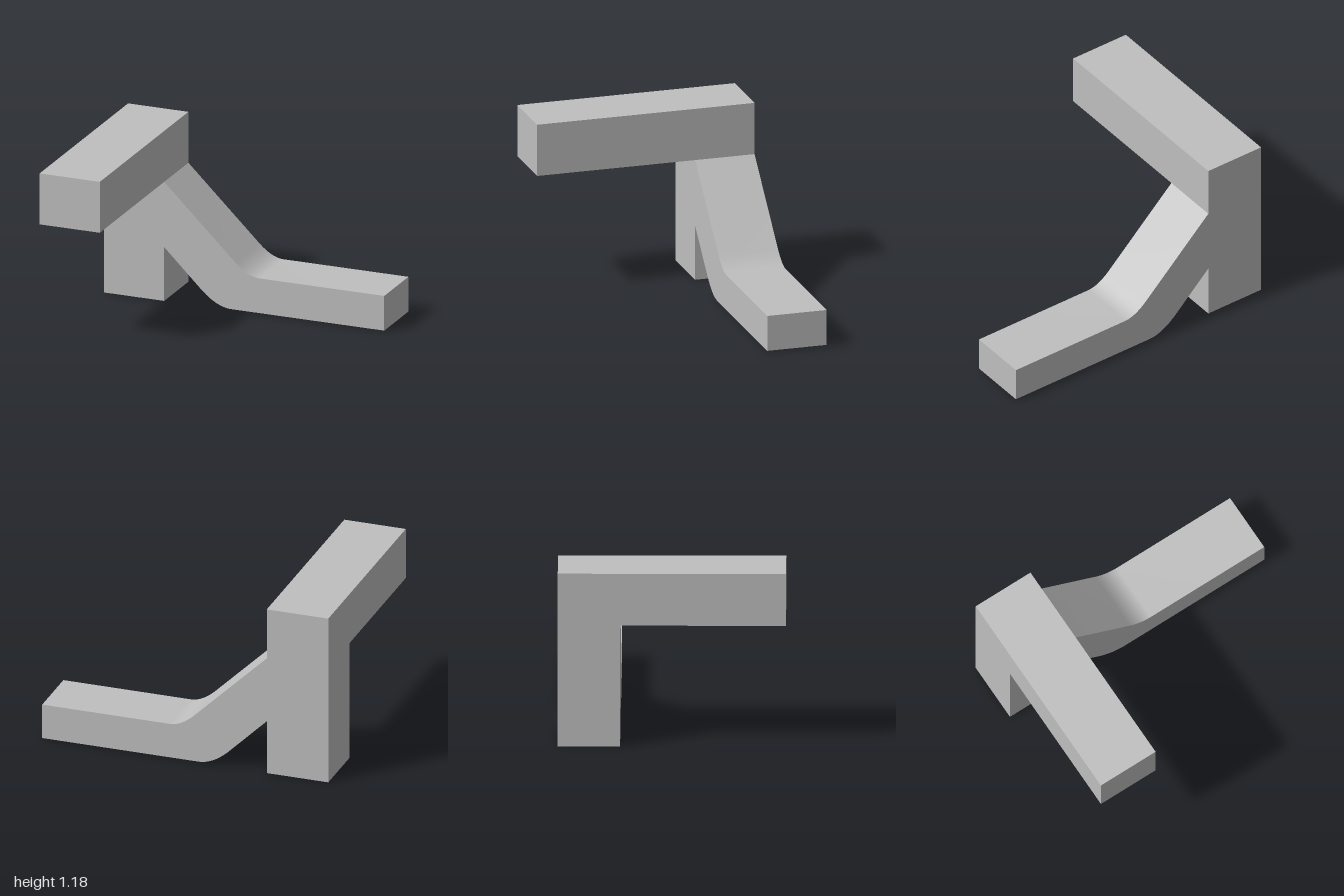
import * as THREE from 'three';
import { toCreasedNormals } from 'three/addons/utils/BufferGeometryUtils.js';

const BACK = -0.75, FRONT = 0.75, LEG_FRONT = -0.34;
const OUTER = -1, INNER = -0.57, TOP = 1.185, BEAM_BOTTOM = 0.83;

export function createModel() {
  const group = new THREE.Group();
  const grey = new THREE.MeshStandardMaterial({ color: 0xbfbfbf });
  grey.name = 'light grey';

  // Upright post and the bent sloping foot, as one side profile
  const profile = new THREE.Shape();
  profile.moveTo(OUTER, 0);
  profile.lineTo(INNER, 0);
  profile.lineTo(INNER, 0.375);
  profile.lineTo(-0.32, 0.13);
  profile.quadraticCurveTo(-0.2, 0.008, -0.09, 0.008);
  profile.lineTo(1, 0.008);
  profile.lineTo(1, 0.25);
  profile.lineTo(0.11, 0.25);
  profile.quadraticCurveTo(0.03, 0.25, -0.06, 0.335);
  profile.lineTo(INNER, BEAM_BOTTOM);
  profile.lineTo(INNER, TOP);
  profile.lineTo(OUTER, TOP);
  profile.closePath();
  const legGeometry = new THREE.ExtrudeGeometry(profile, {
    depth: LEG_FRONT - BACK, bevelEnabled: false, curveSegments: 14,
  });
  legGeometry.translate(0, 0, BACK);
  const leg = new THREE.Mesh(toCreasedNormals(legGeometry, 0.5), grey);
  leg.name = 'postAndSlopingFoot';
  group.add(leg);

  // Overhanging beam running forward from the top of the post
  const beam = new THREE.Mesh(
    new THREE.BoxGeometry(INNER - OUTER, TOP - BEAM_BOTTOM, FRONT - LEG_FRONT), grey);
  beam.position.set((OUTER + INNER) / 2, (TOP + BEAM_BOTTOM) / 2, (FRONT + LEG_FRONT) / 2);
  beam.name = 'overhangingBeam';
  group.add(beam);

  return group;
}
